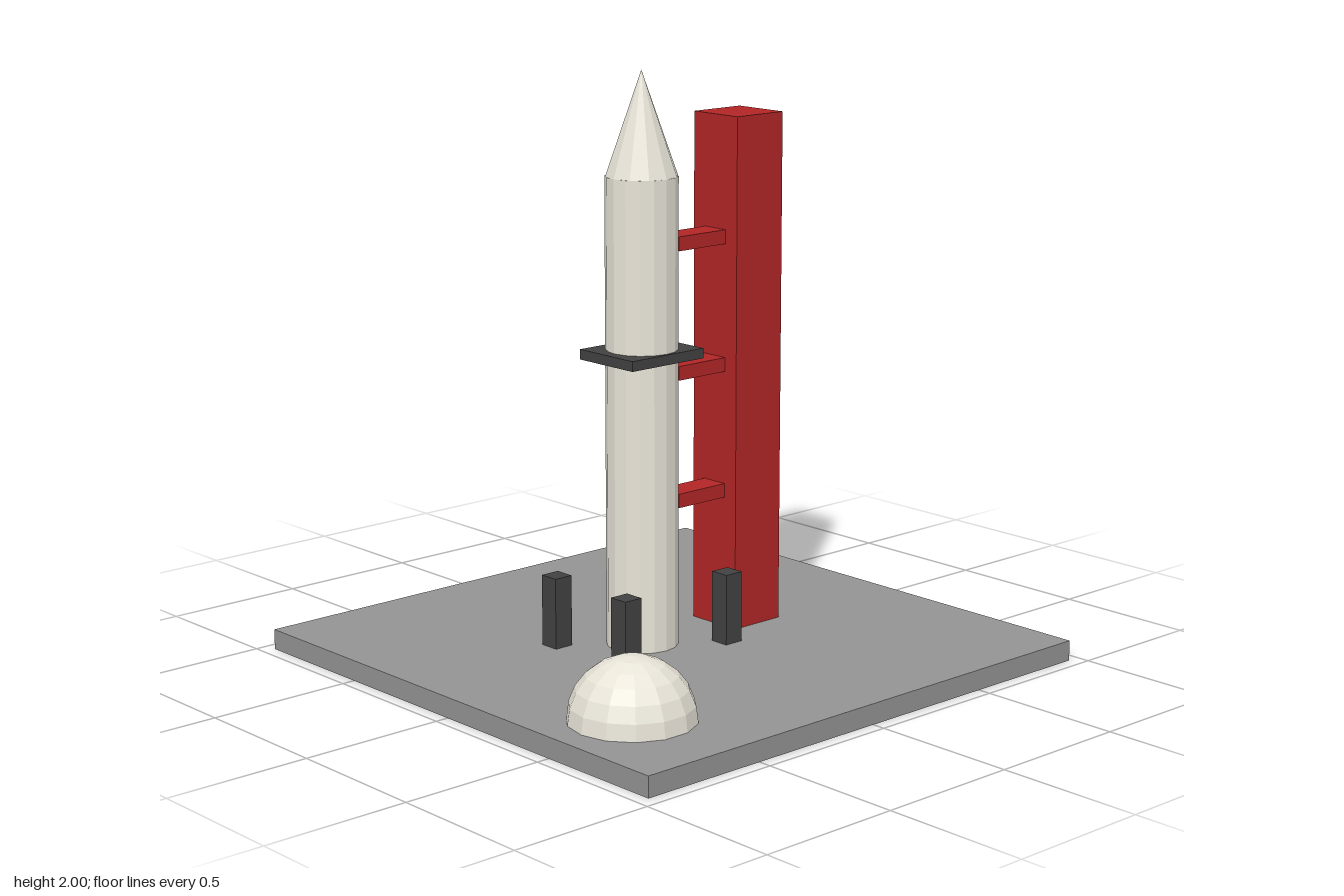
import * as THREE from 'three';

const material = (name, color) => {
  const m = new THREE.MeshStandardMaterial({ color, flatShading: true });
  m.name = name;
  return m;
};

export function createModel() {
  const concrete = material('concrete grey', 0x939393);
  const white = material('warm white', 0xe8e4d8);
  const red = material('gantry red', 0xb22525);
  const dark = material('dark steel', 0x424242);

  const model = new THREE.Group();
  model.name = 'rocketLaunchPad';

  const add = (name, geometry, mat, x, y, z) => {
    const mesh = new THREE.Mesh(geometry, mat);
    mesh.name = name;
    mesh.position.set(x, y, z);
    model.add(mesh);
    return mesh;
  };
  // Box given by its extents in x and y, its depth and its centre in z
  const box = (name, mat, x0, x1, y0, y1, depth, z = 0) =>
    add(name, new THREE.BoxGeometry(x1 - x0, y1 - y0, depth), mat, (x0 + x1) / 2, (y0 + y1) / 2, z);

  const deck = 0.07;
  const rocketX = -0.123;

  // Launch pad
  box('pad', concrete, -0.955, 0.955, 0, deck, 1.91);

  // Rocket: body, nose and the square platform around it
  add('rocketBody', new THREE.CylinderGeometry(0.121, 0.121, 1.585, 16), white, rocketX, deck + 0.7925, 0);
  add('rocketNose', new THREE.ConeGeometry(0.121, 0.345, 12), white, rocketX, 1.8275, 0);
  box('servicePlatform', dark, -0.28, 0.032, 1.047, 1.081, 0.26);

  // Service tower and its three arms
  box('tower', red, 0.207, 0.415, deck, 1.828, 0.208);
  for (const y of [0.55, 0.987, 1.422]) {
    box('towerArm', red, -0.003, 0.207, y - 0.024, y + 0.024, 0.1);
  }

  // Four hold-down posts around the rocket
  for (const x of [-0.35, 0.101]) {
    for (const z of [-0.175, 0.175]) {
      box('holdDownPost', dark, x - 0.035, x + 0.035, deck, 0.313, 0.07, z);
    }
  }

  // Domed bunker
  add('dome', new THREE.SphereGeometry(0.208, 14, 6, 0, Math.PI * 2, 0, Math.PI / 2), white, -0.663, deck, 0.556);

  return model;
}
